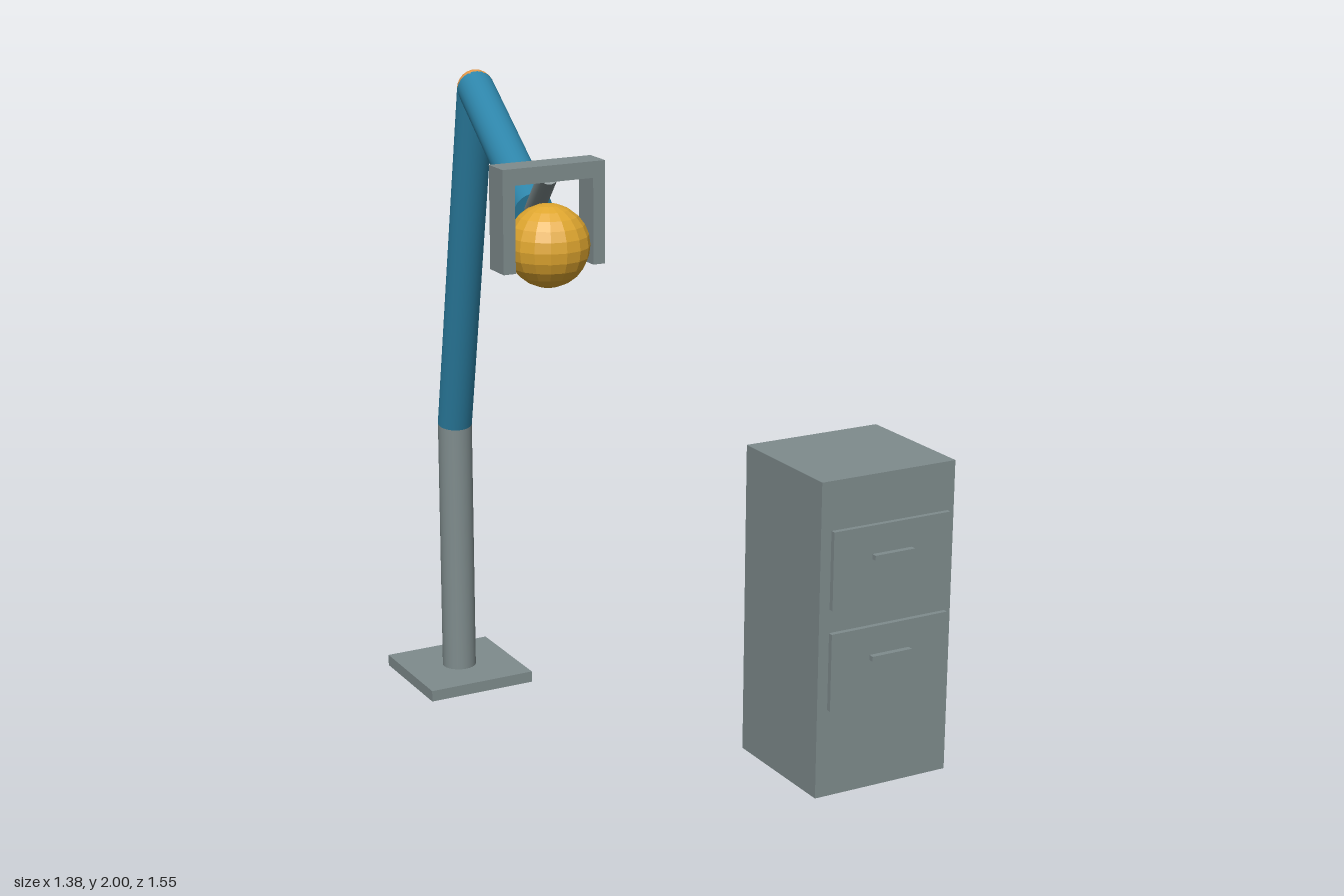
import * as THREE from 'three';

const material = (name, color, flatShading = false) => {
  const m = new THREE.MeshStandardMaterial({ color, flatShading });
  m.name = name;
  return m;
};

export function createModel() {
  const grey = material('steelGrey', 0x7f8c8d);
  const blue = material('armBlue', 0x2e86ab);
  const orange = material('jointOrange', 0xf2a04b);
  const gold = material('ballGold', 0xdfa62f, true);

  const model = new THREE.Group();
  model.name = 'robotArmAndCabinet';

  const add = (parent, name, geometry, mat) => {
    const mesh = new THREE.Mesh(geometry, mat);
    mesh.name = name;
    parent.add(mesh);
    return mesh;
  };
  const group = (name) => {
    const g = new THREE.Group();
    g.name = name;
    model.add(g);
    return g;
  };
  // Box given by its limits on each axis
  const box = (parent, name, [x0, x1], [y0, y1], [z0, z1], mat) =>
    add(parent, name, new THREE.BoxGeometry(x1 - x0, y1 - y0, z1 - z0), mat)
      .position.set((x0 + x1) / 2, (y0 + y1) / 2, (z0 + z1) / 2);
  // Cylinder running between two points
  const rod = (parent, name, a, b, radius, mat) => {
    const dir = b.clone().sub(a);
    const mesh = add(parent, name, new THREE.CylinderGeometry(radius, radius, dir.length(), 24), mat);
    mesh.position.copy(a).add(b).multiplyScalar(0.5);
    mesh.quaternion.setFromUnitVectors(new THREE.Vector3(0, 1, 0), dir.normalize());
  };
  const ball = (parent, name, center, radius, mat) =>
    add(parent, name, new THREE.SphereGeometry(radius, 16, 12), mat).position.copy(center);

  // Arm skeleton
  const R = 0.053;
  const foot = new THREE.Vector3(-0.26, 0.035, -0.602);
  const shoulder = new THREE.Vector3(-0.26, 0.838, -0.602);
  const elbow = new THREE.Vector3(-0.35, 1.947, -0.215);
  const wrist = new THREE.Vector3(-0.505, 1.73, 0.468);
  const mount = new THREE.Vector3(-0.54, 1.855, 0.625);

  const arm = group('robotArm');
  box(arm, 'basePlate', [-0.432, -0.086], [0, 0.035], [-0.775, -0.43], grey);
  rod(arm, 'post', foot, shoulder, R, grey);
  ball(arm, 'shoulderJoint', shoulder, R, orange);
  rod(arm, 'lowerArm', shoulder, elbow, R, blue);
  ball(arm, 'elbowJoint', elbow, R, orange);
  rod(arm, 'upperArm', elbow, wrist, R, blue);
  rod(arm, 'wristRod', wrist, mount, 0.026, grey);

  // Gripper with two fingers around the ball
  const gripper = group('gripper');
  const gz = [0.59, 0.67];
  box(gripper, 'gripperBar', [-0.69, -0.4], [1.847, 1.89], gz, grey);
  box(gripper, 'rightFinger', [-0.69, -0.656], [1.62, 1.847], gz, grey);
  box(gripper, 'leftFinger', [-0.434, -0.4], [1.62, 1.847], gz, grey);
  ball(model, 'heldBall', new THREE.Vector3(-0.545, 1.675, 0.632), 0.109, gold);

  // Cabinet with two drawers
  const cabinet = group('cabinet');
  box(cabinet, 'cabinetBody', [0.24, 0.685], [0, 0.946], [0.33, 0.734], grey);
  for (const y of [0.27, 0.572]) {
    box(cabinet, 'drawerFront', [0.268, 0.658], [y, y + 0.232], [0.743, 0.758], grey);
    box(cabinet, 'drawerHandle', [0.396, 0.529], [y + 0.133, y + 0.148], [0.758, 0.775], grey);
  }

  return model;
}
